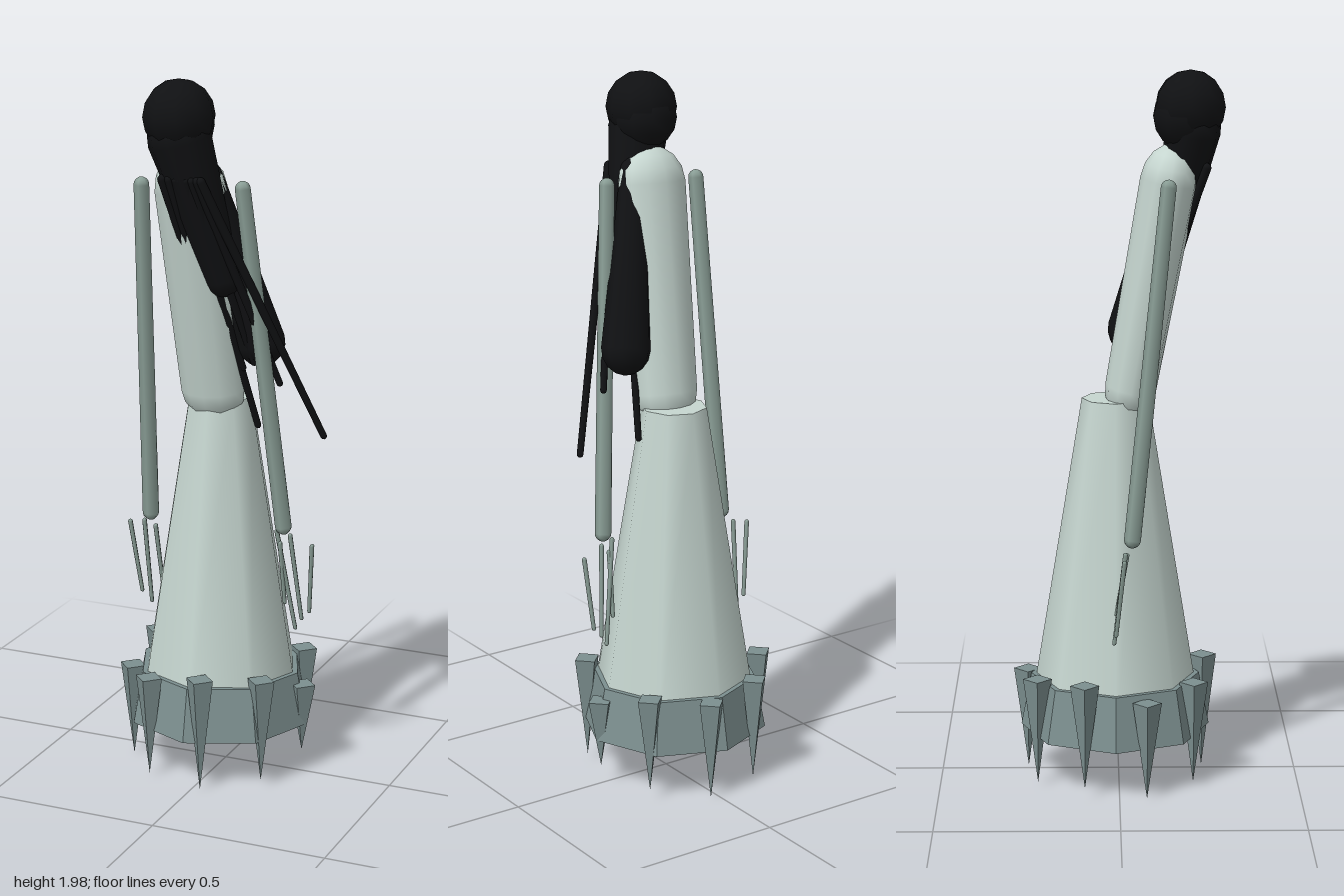
import * as THREE from 'three';

const mat = (color, flatShading = false) => new THREE.MeshStandardMaterial({ color, flatShading });
const UP = new THREE.Vector3(0, 1, 0);

export function createModel() {
  const root = new THREE.Group();
  const cloth = mat(0xc6d6d0), trim = mat(0x7c8f8f, true), skin = mat(0x8a9e96), black = mat(0x101113);

  const add = (name, geometry, material, x = 0, y = 0, z = 0, parent = root) => {
    const mesh = new THREE.Mesh(geometry, material);
    mesh.name = name;
    mesh.position.set(x, y, z);
    parent.add(mesh);
    return mesh;
  };

  // Tapered round-ended limb between the centres of its low and high ends
  const limb = (name, low, high, rLow, rHigh, material, sides = 8, flatX = 1, flatZ = 1, parent = root) => {
    const a = new THREE.Vector3(...low), b = new THREE.Vector3(...high);
    const length = a.distanceTo(b);
    const profile = [];
    for (let i = 0; i <= 4; i++) {
      const t = (i / 4) * Math.PI / 2;
      profile.push(new THREE.Vector2(rLow * Math.sin(t), -rLow * Math.cos(t)));
    }
    for (let i = 0; i <= 4; i++) {
      const t = (i / 4) * Math.PI / 2;
      profile.push(new THREE.Vector2(rHigh * Math.cos(t), length + rHigh * Math.sin(t)));
    }
    const geometry = new THREE.LatheGeometry(profile, sides).scale(flatX, 1, flatZ);
    const mesh = add(name, geometry, material, ...low, parent);
    mesh.quaternion.setFromUnitVectors(UP, b.sub(a).normalize());
    return mesh;
  };

  // Gown skirt and its hem band
  add('skirt', new THREE.CylinderGeometry(0.092, 0.244, 0.93, 8), cloth, -0.02, 0.635, -0.01);
  add('hem', new THREE.CylinderGeometry(0.236, 0.265, 0.15, 8), trim, -0.02, 0.235, -0.01);

  // Pointed tatters hanging round the hem: [top, tip] heights
  const tatters = [[0.28, 0.08], [0.34, 0.04], [0.35, 0.02], [0.32, 0.03], [0.295, 0.02],
    [0.345, 0.05], [0.33, 0.03], [0.31, 0.02], [0.325, 0.05]];
  tatters.forEach(([top, tip], i) => {
    const t = (i / tatters.length) * Math.PI * 2;
    const spike = new THREE.ConeGeometry(0.04, top - tip, 4).rotateX(Math.PI);
    add('hemSpike', spike, trim, -0.02 + 0.25 * Math.cos(t), (top + tip) / 2, -0.01 + 0.25 * Math.sin(t));
  });

  // Forward-leaning torso
  limb('torso', [-0.023, 1.13, 0.033], [-0.042, 1.7, 0.135], 0.093, 0.103, cloth, 12, 1, 0.76);

  // Arms
  limb('rightArm', [-0.215, 0.745, 0.035], [-0.19, 1.7, 0.13], 0.023, 0.021, skin, 6);
  limb('leftArm', [0.188, 0.755, 0.035], [0.105, 1.71, 0.13], 0.023, 0.021, skin, 6);

  // Long thin fingers: [tip], [knuckle]
  const rightHand = new THREE.Group(), leftHand = new THREE.Group();
  rightHand.name = 'rightHand';
  leftHand.name = 'leftHand';
  root.add(rightHand, leftHand);
  const finger = (hand, tip, knuckle) => limb('finger', tip, knuckle, 0.006, 0.007, skin, 5, 1, 1, hand);
  finger(rightHand, [-0.265, 0.49, -0.01], [-0.29, 0.7, 0.012]);
  finger(rightHand, [-0.237, 0.46, -0.015], [-0.244, 0.71, 0.015]);
  finger(rightHand, [-0.2, 0.52, -0.01], [-0.207, 0.7, 0.02]);
  finger(leftHand, [0.208, 0.445, -0.01], [0.165, 0.735, 0.025]);
  finger(leftHand, [0.226, 0.475, -0.012], [0.203, 0.725, 0.02]);
  finger(leftHand, [0.25, 0.5, -0.01], [0.265, 0.7, 0.012]);
  finger(leftHand, [0.18, 0.52, 0.0], [0.175, 0.7, 0.025]);

  // Head wrapped in hair
  add('head', new THREE.SphereGeometry(0.09, 10, 8), black, -0.05, 1.875, 0.178);
  add('hairCap', new THREE.SphereGeometry(0.098, 10, 8), black, -0.05, 1.902, 0.192);

  // Hair falling over the face and swept to one side
  limb('frontHair', [0.045, 1.46, 0.125], [-0.045, 1.84, 0.2], 0.05, 0.088, black, 10, 1, 0.85);

  // Heavy lock behind the shoulder
  limb('sideLock', [0.112, 1.275, 0.03], [0.01, 1.74, 0.14], 0.073, 0.04, black, 10, 1, 0.8);

  // Loose strands fanning out in one sloping sheet: [tip x, tip y, root x]
  const sheetZ = (y) => 0.235 - (1.74 - y) * 0.335;
  const strands = [[0.288, 1.015, 0.03], [0.095, 1.025, -0.01], [0.01, 1.27, -0.06], [-0.02, 1.4, -0.08],
    [0.075, 1.2, -0.03], [0.05, 1.32, -0.04], [0.178, 1.165, 0.02], [0.11, 1.22, 0.005]];
  for (const [x, y, rootX] of strands) {
    limb('hairStrand', [x, y, sheetZ(y)], [rootX, 1.74, sheetZ(1.74)], 0.009, 0.013, black, 6);
  }
  return root;
}
